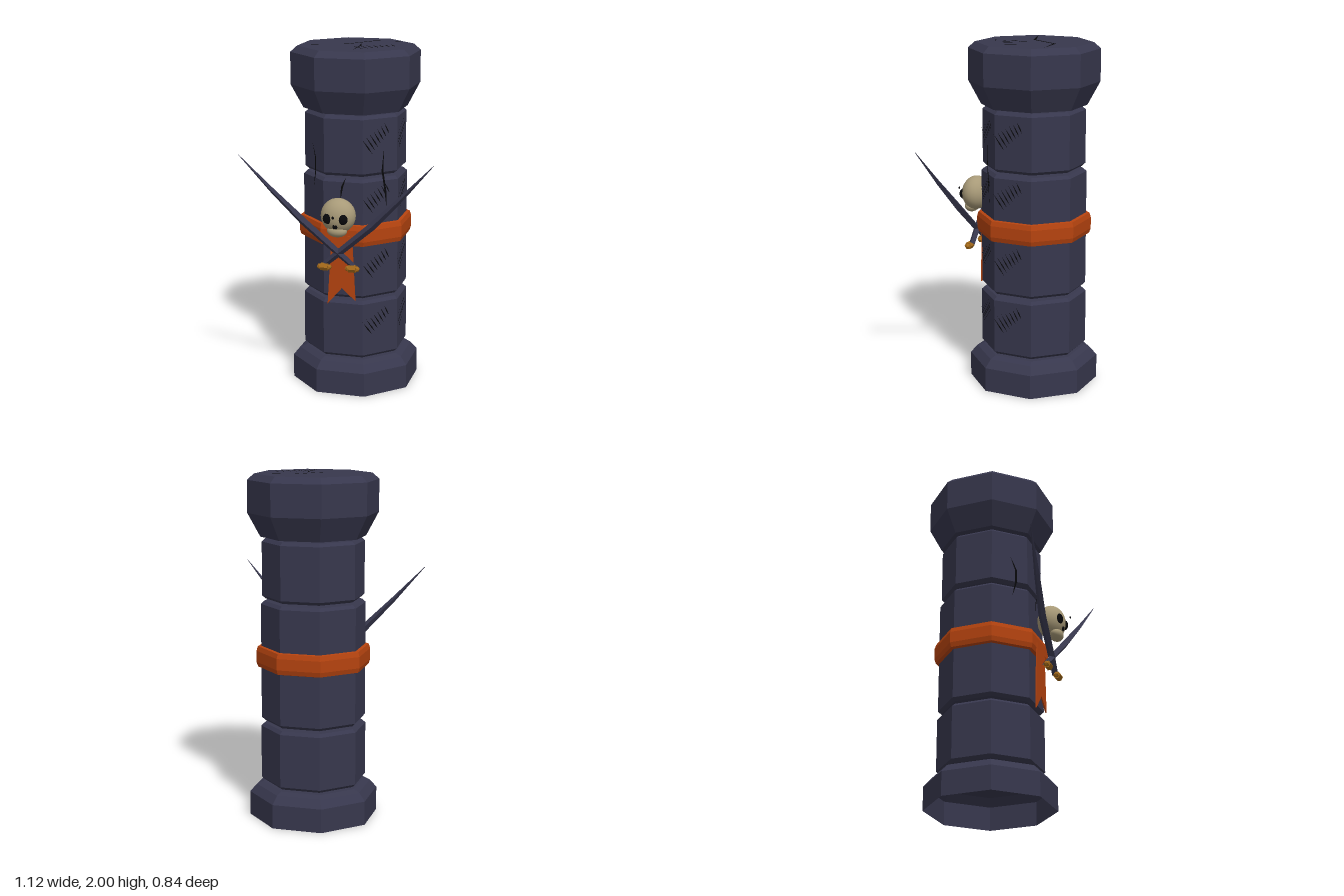
import * as THREE from 'three';

const mat = (name, color, side = THREE.FrontSide) => {
  const m = new THREE.MeshStandardMaterial({ color, side });
  m.name = name;
  return m;
};
const CZ = -0.07; // depth of the column axis

export function createModel() {
  const stone = mat('slate stone', 0x37374d, THREE.DoubleSide);
  const cloth = mat('orange cloth', 0xb5430f, THREE.DoubleSide);
  const bone = mat('old bone', 0xa89a78);
  const gold = mat('dull gold', 0xa3691a);
  const black = mat('black', 0x08080a, THREE.DoubleSide);
  const model = new THREE.Group();

  const add = (name, geo, material, x = 0, y = 0, z = 0) => {
    const mesh = new THREE.Mesh(geo, material);
    mesh.name = name;
    mesh.position.set(x, y, z);
    model.add(mesh);
    return mesh;
  };
  const facet = (geo) => {
    const g = geo.index ? geo.toNonIndexed() : geo;
    g.computeVertexNormals();
    return g;
  };

  // Eight-sided drum from [distance to flat side, height] pairs
  const drum = (name, profile, material = stone) => {
    const pts = profile.map(([a, y]) => new THREE.Vector2(a / Math.cos(Math.PI / 8), y));
    const geo = new THREE.LatheGeometry(pts, 8, Math.PI / 8);
    return add(name, facet(geo), material, 0, 0, CZ);
  };
  const block = (name, a, y0, y1) => drum(name, [
    [0, y0], [a - 0.018, y0], [a, y0 + 0.018], [a, y1 - 0.018], [a - 0.018, y1], [0, y1]]);

  // Column: hollow-bottomed base, three blocks, flared capital
  drum('base', [[0.347, 0], [0.347, 0.14], [0.31, 0.185], [0.275, 0.2], [0, 0.2]]);
  block('lowerBlock', 0.283, 0.21, 0.557);
  block('middleBlock', 0.28, 0.573, 1.277);
  block('upperBlock', 0.273, 1.29, 1.635);
  drum('capital', [[0, 1.645], [0.28, 1.645], [0.347, 1.78], [0.347, 1.965], [0.31, 2], [0, 2]]);

  // Cloth band and forked banner
  drum('band', [[0.28, 0.888], [0.298, 0.893], [0.306, 0.92], [0.306, 0.985], [0.298, 1.012], [0.27, 1.016]], cloth);
  const flag = new THREE.Shape([[-0.06, 0.95], [-0.085, 0.54], [0, 0.64], [0.08, 0.57], [0.06, 0.95]]
    .map((p) => new THREE.Vector2(...p)));
  add('banner', new THREE.ExtrudeGeometry(flag, { depth: 0.008, bevelEnabled: false }), cloth, 0, 0, 0.232);

  // Stroke that tapers to a point at both ends
  const stroke = (points, w) => {
    const p = points.map((q) => new THREE.Vector2(...q));
    const dir = p[p.length - 1].clone().sub(p[0]).normalize();
    const n = new THREE.Vector2(-dir.y, dir.x).multiplyScalar(w);
    const inner = p.slice(1, -1);
    return new THREE.Shape([p[0], ...inner.map((q) => q.clone().add(n)), p[p.length - 1],
      ...inner.reverse().map((q) => q.clone().sub(n))]);
  };
  // Comb of seven slanted scratches
  const hatch = (s = 1) => Array.from({ length: 7 }, (_, i) => {
    const t = i / 6, x = -0.12 + 0.145 * t, y = 0.005 + 0.08 * t;
    const dx = 0.068 - 0.035 * t, dy = -0.09 + 0.025 * t;
    return stroke([[x, y], [x + dx * 0.6, y + dy * 0.6], [x + dx, y + dy]]
      .map(([a, b]) => [a * s, b * s]), 0.004 * s);
  });
  // Thin marks laid on a side of the column
  const mark = (name, shapes, angle, a, y) => {
    const d = a + 0.004;
    add(name, new THREE.ShapeGeometry(shapes), black,
      Math.sin(angle) * d, y, CZ + Math.cos(angle) * d).rotation.y = angle;
  };
  for (const angle of [Math.PI / 4, Math.PI / 2]) {
    for (const [a, y] of [[0.273, 1.505], [0.28, 1.165], [0.28, 0.78], [0.283, 0.43]]) {
      mark('scratches', hatch(), angle, a, y);
    }
  }
  mark('rightCrack', [stroke([[0.02, 1.45], [0.01, 1.32], [0.03, 1.2], [0.04, 1.09]], 0.006)], Math.PI / 4, 0.28, 0);
  mark('leftCrack', [stroke([[0, 1.46], [0.035, 1.38], [0.035, 1.3], [0.01, 1.2]], 0.006)], -Math.PI / 4, 0.28, 0);
  mark('frontCrack', [stroke([[0.02, 1.29], [-0.005, 1.23], [-0.015, 1.15]], 0.006)], 0, 0.28, 0);

  // Marks on the top
  const topMark = (name, shapes, x = 0, z = 0) => {
    add(name, new THREE.ShapeGeometry(shapes), black, x, 2.004, z).rotation.x = -Math.PI / 2;
  };
  topMark('topScratches', hatch(1.35), 0.165, 0.02);
  topMark('topLongCrack', [stroke([[-0.27, -0.03], [-0.05, 0.05], [0.07, 0.228], [0.27, 0.25]], 0.008)]);
  topMark('topShortCrack', [stroke([[0.025, 0.105], [0.046, 0], [0.048, -0.2]], 0.006)]);

  // Skull
  const ball = (name, material, [x, y, z], [rx, ry, rz], w = 24, h = 16) => {
    const mesh = add(name, new THREE.SphereGeometry(1, w, h), material, x, y, z);
    mesh.scale.set(rx, ry, rz);
    return mesh;
  };
  ball('skull', bone, [0, 1.09, 0.308], [0.1, 0.1, 0.08]);
  ball('jaw', bone, [0, 1.008, 0.335], [0.058, 0.036, 0.04]);
  for (const s of [-1, 1]) {
    ball('eyeSocket', black, [s * 0.044, 1.085, 0.372], [0.028, 0.03, 0.02], 12, 8);
    ball('nostril', black, [s * 0.006, 1.043, 0.376], [0.008, 0.016, 0.008], 8, 6);
  }
  ball('browSpeck', black, [0, 1.105, 0.422], [0.008, 0.008, 0.003], 8, 6);

  // Curved sword: diamond cross-sections [x, y, z, half width, half depth]
  const stations = [
    [-0.085, 0.795, 0.295, 0.016, 0.018], [0, 0.87, 0.305, 0.02, 0.02],
    [0.2, 1.045, 0.322, 0.022, 0.022], [0.37, 1.22, 0.355, 0.014, 0.016], [0.557, 1.425, 0.39, 0.001, 0.002]];
  const blade = (s) => {
    const pos = [], idx = [];
    stations.forEach(([x, y, z, w, d], i) => {
      const h = w * 0.72;
      pos.push(s * (x + h), y - h, z, s * x, y, z + d, s * (x - h), y + h, z, s * x, y, z - d);
      for (let k = 0; k < 4 && i > 0; k++) {
        const a = (i - 1) * 4 + k, b = (i - 1) * 4 + (k + 1) % 4;
        if (s > 0) idx.push(a, b, b + 4, a, b + 4, a + 4);
        else idx.push(a, b + 4, b, a, a + 4, b + 4);
      }
    });
    const geo = new THREE.BufferGeometry();
    geo.setAttribute('position', new THREE.Float32BufferAttribute(pos, 3));
    geo.setIndex(idx);
    return facet(geo);
  };
  for (const s of [-1, 1]) {
    add('swordBlade', blade(s), stone);
    // Gold hilt: faceted grip with a knob on each end
    const grip = add('swordHilt', facet(new THREE.CylinderGeometry(0.022, 0.022, 0.044, 6)), gold, -s * 0.082, 0.785, 0.312);
    grip.rotation.z = Math.PI / 2;
    for (const e of [-1, 1]) {
      add('hiltKnob', facet(new THREE.IcosahedronGeometry(0.018, 0)), gold, -s * 0.082 + e * 0.026, 0.785, 0.312);
    }
  }
  return model;
}
